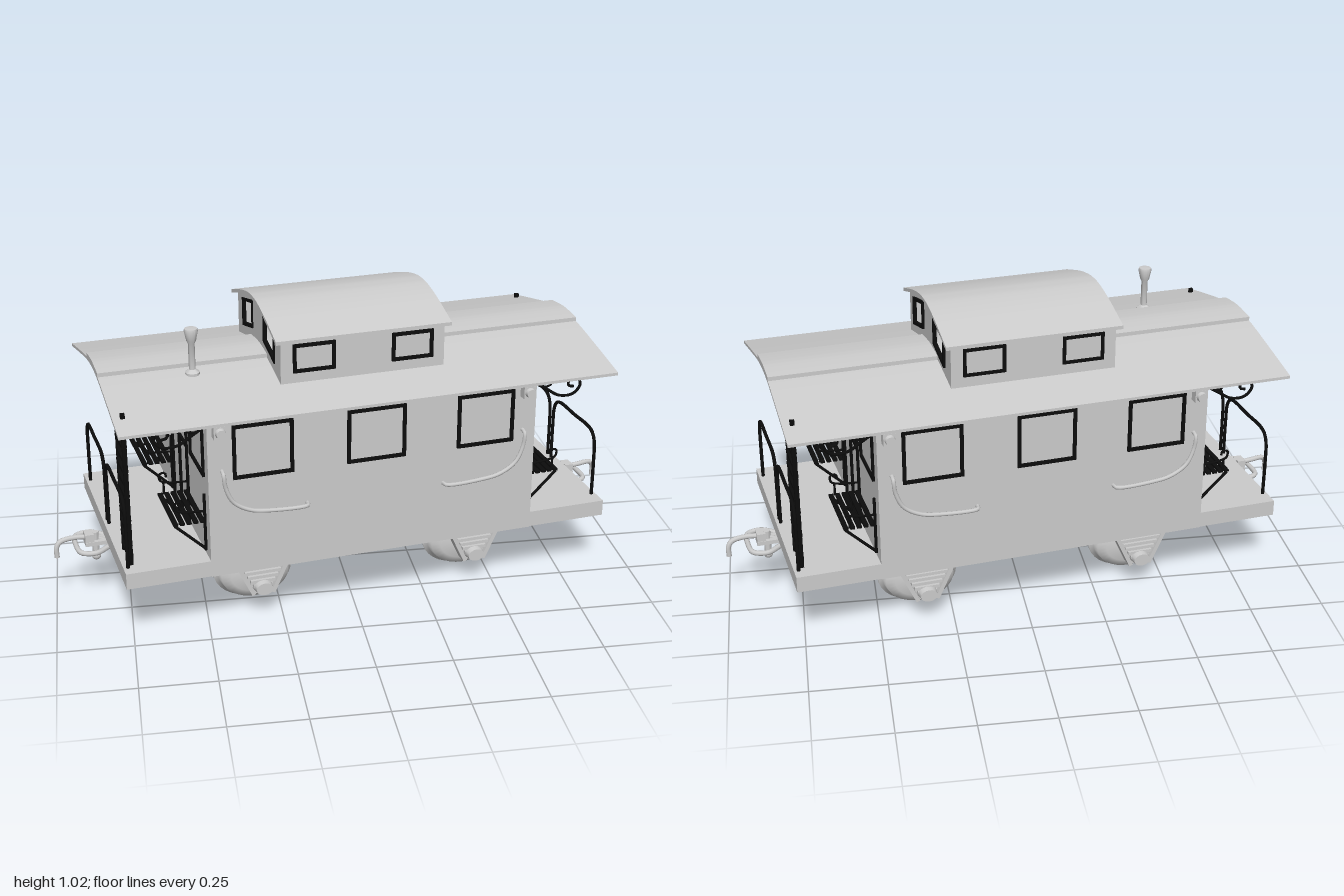
import * as THREE from 'three';
import { toCreasedNormals } from 'three/addons/utils/BufferGeometryUtils.js';

const grey = new THREE.MeshStandardMaterial({ color: 0xcccccc, side: THREE.DoubleSide });
const black = new THREE.MeshStandardMaterial({ color: 0x0c0c0c, side: THREE.DoubleSide });
const V = (x, y, z) => new THREE.Vector3(x, y, z);

function add(parent, name, geo, mat, x = 0, y = 0, z = 0) {
  const m = new THREE.Mesh(geo, mat);
  m.name = name;
  m.position.set(x, y, z);
  parent.add(m);
  return m;
}
const box = (p, name, w, h, d, x, y, z, mat = grey) => add(p, name, new THREE.BoxGeometry(w, h, d), mat, x, y, z);
const tube = (p, name, pts, r, mat, seg = 24) =>
  add(p, name, new THREE.TubeGeometry(new THREE.CatmullRomCurve3(pts, false, 'centripetal'), seg, r, 8), mat);

// straight rod between two points
function rod(p, name, a, b, r, mat) {
  const m = add(p, name, new THREE.CylinderGeometry(r, r, a.distanceTo(b), 8), mat);
  m.position.copy(a).lerp(b, 0.5);
  m.quaternion.setFromUnitVectors(V(0, 1, 0), b.clone().sub(a).normalize());
  return m;
}

// outline of a (possibly skewed) four-sided panel
function quad(w, h, skew = 0, cx = 0, cy = 0, Type = THREE.Shape) {
  return new Type([[-1, -1], [1, -1], [1, 1], [-1, 1]].map(([a, b]) =>
    new THREE.Vector2(cx + a * w / 2, cy + b * h / 2 + skew * a * w / 2)));
}
function frameGeo(w, h, skew = 0, t = 0.011) {
  const s = quad(w, h, skew);
  s.holes.push(quad(w - 2 * t, h - 2 * t, skew, 0, 0, THREE.Path));
  return new THREE.ExtrudeGeometry(s, { depth: 0.012, bevelEnabled: false }).translate(0, 0, -0.004);
}

// extrude a cross-section of (across, up) along the car's length
function alongCar(shape, length) {
  const g = new THREE.ExtrudeGeometry(shape, { depth: length, bevelEnabled: false, curveSegments: 10 });
  return toCreasedNormals(g.translate(0, 0, -length / 2).rotateY(Math.PI / 2), 0.5);
}

// thin arched shell from half a profile, mirrored about the ridge
function archShape(half, t) {
  const all = [...half.map(([x, y]) => [-x, y]), ...half.slice(0, -1).reverse()];
  const top = new THREE.SplineCurve(all.map(([x, y]) => new THREE.Vector2(x, y))).getPoints(28);
  return new THREE.Shape([...top, ...top.slice().reverse().map(p => new THREE.Vector2(p.x, p.y - t))]);
}
const poly = pts => new THREE.Shape(pts.map(([x, y]) => new THREE.Vector2(x, y)));

function buildCupola(car) {
  const g = new THREE.Group();
  g.name = 'cupola';
  car.add(g);
  for (const s of [-1, 1]) {
    box(g, 'cupolaSideWall', 0.56, 0.16, 0.01, 0, 0.868, s * 0.254);
    const end = poly([[-0.259, 0.79], [0.259, 0.79], [0.259, 0.943], [0.14, 0.98], [0, 0.998], [-0.14, 0.98], [-0.259, 0.943]]);
    for (const k of [-1, 1]) {
      end.holes.push(quad(0.12, 0.09, -k * 0.25, k * 0.13, 0.914, THREE.Path));
      add(g, 'cupolaEndWindowFrame', frameGeo(0.13, 0.1, k * 0.25), black, s * 0.28, 0.914, k * 0.13).rotation.y = Math.PI / 2;
      add(g, 'cupolaSideWindowFrame', frameGeo(0.143, 0.097), black, k * 0.168, 0.885, s * 0.259);
    }
    add(g, 'cupolaEndWall', alongCar(end, 0.01), grey, s * 0.275);
  }
  add(g, 'cupolaRoof', alongCar(archShape([[0.274, 0.953], [0.14, 0.995], [0.05, 1.014], [0, 1.017]], 0.012), 0.598), grey);
}

// wheel pair with axle, hangers and axle boxes
function buildAxle(car, x) {
  const g = new THREE.Group();
  g.name = 'axleSet';
  g.position.set(x, 0.1025, -0.015);
  car.add(g);
  rod(g, 'axle', V(0, 0, -0.31), V(0, 0, 0.31), 0.02, grey);
  const profile = [[0, 0.04], [0.03, 0.038], [0.065, 0.03], [0.088, 0.022], [0.092, -0.008],
    [0.1025, -0.014], [0.1025, -0.024], [0.085, -0.03], [0.04, -0.034], [0, -0.036]];
  const wheel = new THREE.LatheGeometry(profile.reverse().map(p => new THREE.Vector2(...p)), 32);
  for (const s of [-1, 1]) {
    const w = add(g, 'wheel', wheel, grey, 0, 0, s * 0.198);
    w.rotation.x = s * Math.PI / 2;
    w.scale.x = 1.34;
    // stacked leaves narrowing down to the axle box
    for (let i = 0; i < 7; i++)
      box(g, 'springLeaf', 0.185 - i * 0.02, 0.011, 0.042, 0, 0.105 - i * 0.017, s * 0.3);
    for (const k of [-1, 1])
      box(g, 'hangerArm', 0.014, 0.155, 0.05, k * 0.065, 0.045, s * 0.3).rotation.z = -k * 0.43;
    add(g, 'hangerPlate', new THREE.ExtrudeGeometry(poly([[-0.098, 0.118], [-0.032, -0.03], [0.032, -0.03], [0.098, 0.118]]),
      { depth: 0.012, bevelEnabled: false }), grey, 0, 0, s * 0.3 - 0.006);
    const b = add(g, 'axleBox', new THREE.CylinderGeometry(0.022, 0.026, 0.035, 16), grey, 0, 0, s * 0.325);
    b.rotation.x = s * Math.PI / 2;
    b.scale.x = 1.3;
  }
}

function buildBench(end, z) {
  const g = new THREE.Group();
  g.name = 'bench';
  g.position.z = z;
  end.add(g);
  for (let i = 0; i < 5; i++) box(g, 'seatSlat', 0.015, 0.008, 0.24, 0.575 + i * 0.022, 0.405, 0, black);
  for (const s of [-1, 1]) {
    const k = s * 0.115;
    rod(g, 'wallUpright', V(0.567, 0.3, k), V(0.567, 0.5, k), 0.005, black);
    rod(g, 'seatBrace', V(0.567, 0.305, k), V(0.665, 0.4, k), 0.005, black);
    tube(g, 'armRest', [V(0.567, 0.44, k), V(0.63, 0.445, k), V(0.66, 0.455, k), V(0.663, 0.478, k), V(0.645, 0.482, k), V(0.64, 0.466, k)], 0.004, black);
    rod(g, 'armPost', V(0.65, 0.405, k), V(0.65, 0.45, k), 0.004, black);
  }
}

// open end platform, built for the +x end
function buildEnd() {
  const g = new THREE.Group();
  g.name = 'endPlatform';
  // door and windows of the end wall
  for (const s of [-1, 1]) {
    add(g, 'endWindowFrame', frameGeo(0.188, 0.185), black, 0.56, 0.648, s * 0.253).rotation.y = Math.PI / 2;
    buildBench(g, s * 0.24);
  }
  add(g, 'doorFrame', frameGeo(0.225, 0.465), black, 0.56, 0.508, 0).rotation.y = Math.PI / 2;
  box(g, 'doorCentreBar', 0.012, 0.46, 0.014, 0.562, 0.508, 0, black);
  box(g, 'doorCrossBar', 0.012, 0.012, 0.22, 0.562, 0.56, 0, black);

  // railings
  for (const z of [0.167, -0.187]) {
    const w = 0.163, x = 0.822;
    tube(g, 'railing', [V(x, 0.27, z - w), V(x, 0.4, z - w), V(x, 0.475, z - w + 0.005), V(x, 0.505, z - w + 0.03),
      V(x, 0.51, z), V(x, 0.505, z + w - 0.03), V(x, 0.475, z + w - 0.005), V(x, 0.4, z + w), V(x, 0.27, z + w)], 0.006, black, 48);
  }

  // ladder up to the roof
  for (const z of [-0.222, -0.33]) box(g, 'ladderRail', 0.014, 0.53, 0.012, 0.808, 0.535, z, black);
  for (let i = 0; i < 11; i++) box(g, 'ladderRung', 0.018, 0.012, 0.105, 0.808, 0.305 + i * 0.0425, -0.276, black);

  // scrolled eave brackets
  for (const s of [-1, 1]) {
    const z = s * 0.378;
    tube(g, 'eaveScroll', [V(0.56, 0.745, z), V(0.6, 0.72, z), V(0.65, 0.69, z), V(0.7, 0.69, z), V(0.725, 0.72, z),
      V(0.71, 0.75, z), V(0.685, 0.745, z), V(0.682, 0.722, z), V(0.7, 0.716, z)], 0.005, black, 40);
    const curl = add(g, 'scrollCurl', new THREE.TorusGeometry(0.016, 0.004, 6, 16), black, 0.6, 0.743, z);
    curl.scale.x = 1.3;
  }

  // coupler: drawbar, handle ring, hook and pin
  box(g, 'drawbar', 0.25, 0.014, 0.05, 0.78, 0.205, 0);
  tube(g, 'couplerRing', [V(0.83, 0.2, -0.045), V(0.88, 0.2, -0.08), V(0.925, 0.2, -0.065), V(0.935, 0.2, 0),
    V(0.925, 0.2, 0.065), V(0.88, 0.2, 0.08), V(0.83, 0.2, 0.045)], 0.009, grey, 40);
  tube(g, 'couplerHook', [V(0.83, 0.2, 0), V(0.88, 0.22, 0), V(0.94, 0.228, 0), V(0.99, 0.224, -0.01), V(1.002, 0.205, -0.012), V(1.002, 0.17, -0.012)], 0.009, grey);
  box(g, 'hookBlock', 0.03, 0.035, 0.045, 0.89, 0.222, 0);
  rod(g, 'couplerPin', V(0.868, 0.14, 0), V(0.868, 0.24, 0), 0.012, grey);
  add(g, 'pinKnob', new THREE.SphereGeometry(0.016, 12, 8), grey, 0.868, 0.15, 0);
  box(g, 'underPlate', 0.2, 0.012, 0.66, 0.68, 0.215, 0);
  return g;
}

// one long side, built for +z
function buildSide() {
  const g = new THREE.Group();
  g.name = 'sideFittings';
  for (const x of [-0.38, 0, 0.38]) add(g, 'sideWindowFrame', frameGeo(0.2, 0.185), black, x, 0.648, 0.391);
  for (const s of [-1, 1]) {
    tube(g, 'grabRail', [V(s * 0.515, 0.59, 0.392), V(s * 0.515, 0.585, 0.412), V(s * 0.51, 0.54, 0.413), V(s * 0.485, 0.485, 0.413),
      V(s * 0.43, 0.45, 0.413), V(s * 0.36, 0.438, 0.413), V(s * 0.24, 0.436, 0.412), V(s * 0.235, 0.436, 0.392)], 0.007, grey, 40);
    box(g, 'markerLamp', 0.042, 0.042, 0.03, s * 0.523, 0.732, 0.406);
    add(g, 'lampLens', new THREE.CylinderGeometry(0.015, 0.018, 0.016, 16), grey, s * 0.523, 0.732, 0.426).rotation.x = Math.PI / 2;
  }
  return g;
}

export function createModel() {
  const model = new THREE.Group();
  model.name = 'railwayCaboose';
  const car = new THREE.Group();
  car.name = 'car';
  car.rotation.y = 0.158;
  model.add(car);

  // floor, cabin and roof
  box(car, 'floor', 1.674, 0.055, 0.782, 0, 0.2475, 0);
  add(car, 'cabin', alongCar(poly([[-0.391, 0.218], [0.391, 0.218], [0.391, 0.757], [0.1, 0.818], [0, 0.83], [-0.1, 0.818], [-0.391, 0.757]]), 1.12), grey);
  add(car, 'mainRoof', alongCar(archShape([[0.4225, 0.764], [0.25, 0.803], [0.1, 0.834], [0, 0.842]], 0.01), 1.68), grey);
  add(car, 'roofWalk', alongCar(archShape([[0.097, 0.848], [0.05, 0.853], [0, 0.856]], 0.018), 1.68), grey);
  buildCupola(car);

  // stove pipe
  const pipe = [[0.024, 0.8], [0.024, 0.832], [0.011, 0.842], [0.011, 0.93], [0.016, 0.94], [0.023, 0.972], [0.021, 0.98], [0, 0.982]];
  add(car, 'stovePipe', toCreasedNormals(new THREE.LatheGeometry(pipe.map(p => new THREE.Vector2(...p)), 16), 0.6), grey, -0.54, 0, 0.137);

  // both ends and both sides by half-turn symmetry
  for (const turn of [0, Math.PI]) {
    const end = buildEnd(), side = buildSide();
    end.rotation.y = side.rotation.y = turn;
    car.add(end, side);
  }
  for (const x of [-0.365, 0.395]) buildAxle(car, x);
  return model;
}
